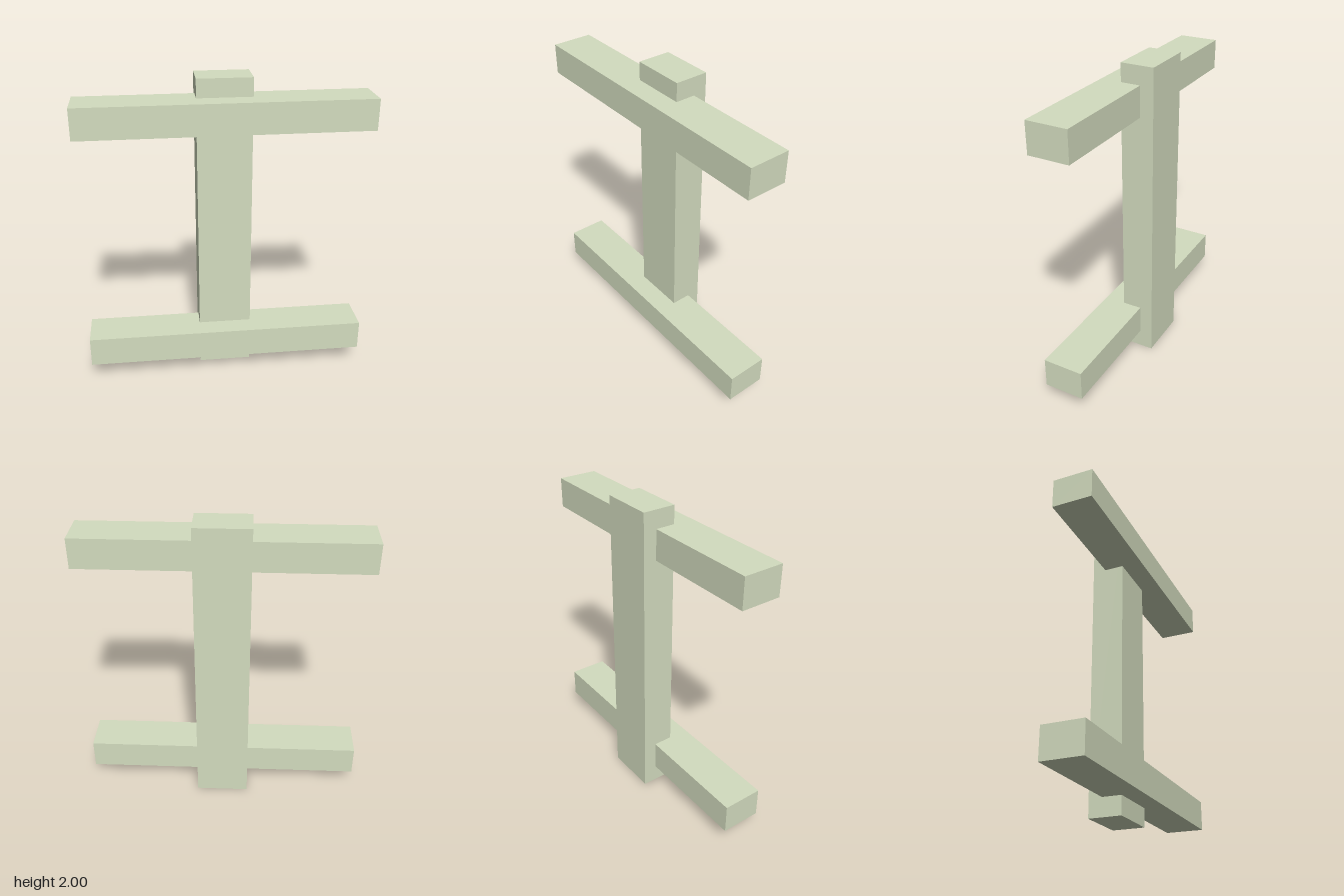
import * as THREE from 'three';

export function createModel() {
  const group = new THREE.Group();
  const material = new THREE.MeshStandardMaterial({ color: 0xd3dcbf });

  // Box placed by its centre
  const addBox = (name, size, position) => {
    const mesh = new THREE.Mesh(new THREE.BoxGeometry(...size), material);
    mesh.name = name;
    mesh.position.set(...position);
    group.add(mesh);
  };

  // Upright post at the back
  addBox('post', [0.346, 2, 0.213], [0, 1, -0.067]);

  // Two crossbars let into the front of the post
  const bars = [['lowerCrossbar', 0.218], ['upperCrossbar', 1.785]];
  for (const [name, y] of bars) addBox(name, [1.826, 0.196, 0.26], [0, y, 0.043]);

  return group;
}
